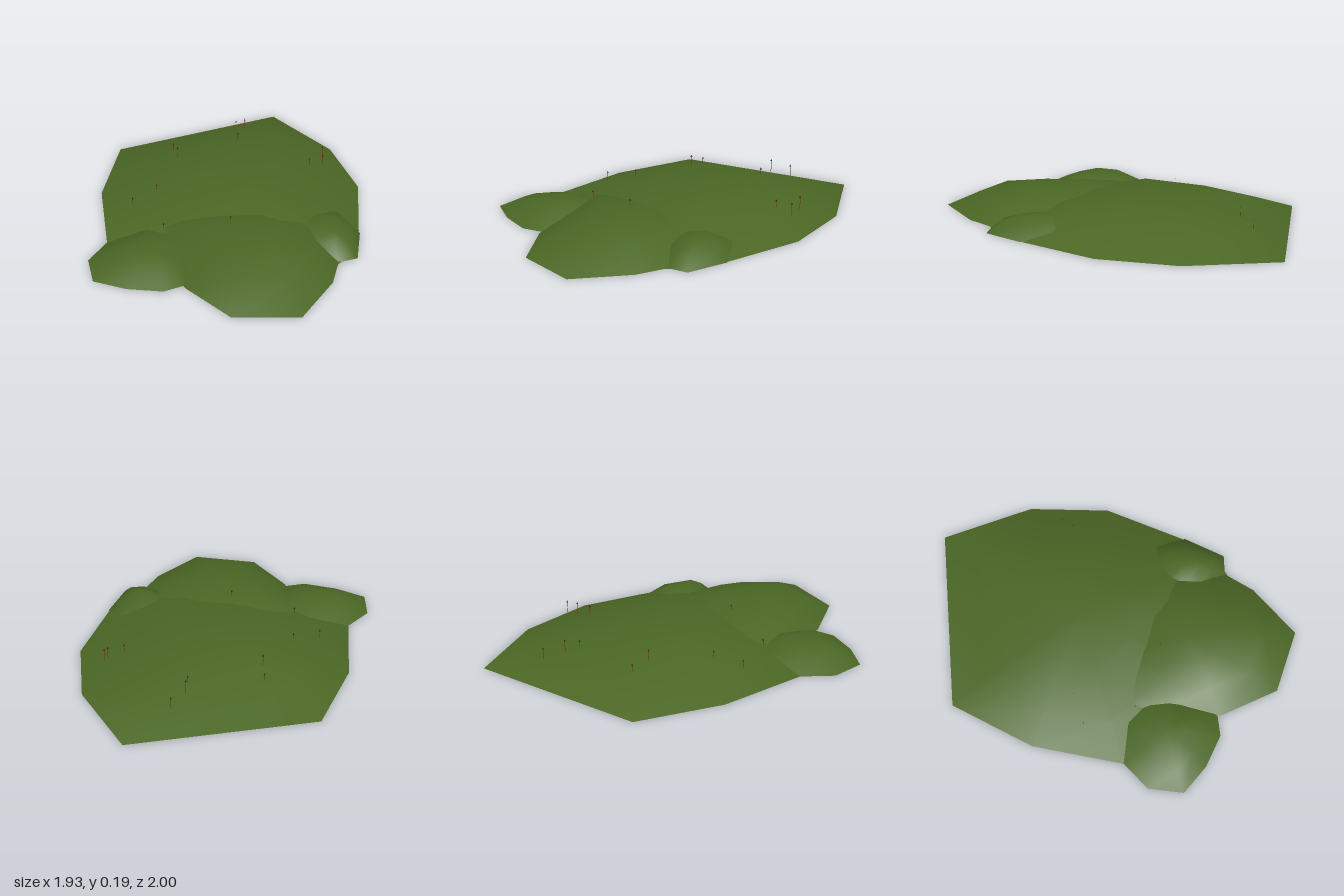
import * as THREE from 'three';

const grass = new THREE.MeshStandardMaterial({ color: 0x4b6725, side: THREE.DoubleSide });
grass.name = 'grass green';
const stemRed = new THREE.MeshStandardMaterial({ color: 0x7c2420, side: THREE.DoubleSide });
stemRed.name = 'stem red';
const budBrown = new THREE.MeshStandardMaterial({ color: 0x3d1a16, side: THREE.DoubleSide });
budBrown.name = 'bud brown';

// Open smooth dome: ground outline [x, z] shrinks toward the centre through [scale, height] rings
function mound(name, [cx, cz], outline, rings, peak) {
  const n = outline.length, pos = [], idx = [];
  for (const [s, y] of rings)
    for (const [x, z] of outline) pos.push(cx + (x - cx) * s, y, cz + (z - cz) * s);
  pos.push(cx, peak, cz);
  const top = rings.length * n;
  for (let r = 0; r < rings.length; r++) {
    for (let i = 0; i < n; i++) {
      const a = r * n + i, b = r * n + (i + 1) % n;
      if (r === rings.length - 1) idx.push(a, top, b);
      else idx.push(a, a + n, b, b, a + n, b + n);
    }
  }
  const g = new THREE.BufferGeometry();
  g.setAttribute('position', new THREE.Float32BufferAttribute(pos, 3));
  g.setIndex(idx);
  g.computeVertexNormals();
  const mesh = new THREE.Mesh(g, grass);
  mesh.name = name;
  return mesh;
}

// Thin upright sprig with a pointed bud at the top
function sprig(x, top, z) {
  const group = new THREE.Group();
  group.name = 'sprig';
  const stem = new THREE.Mesh(new THREE.PlaneGeometry(0.003, 0.07), stemRed);
  stem.name = 'stem';
  stem.position.y = -0.045;
  const shape = new THREE.Shape([
    new THREE.Vector2(-0.006, -0.014), new THREE.Vector2(0.006, -0.014), new THREE.Vector2(0, 0)
  ]);
  const bud = new THREE.Mesh(new THREE.ShapeGeometry(shape), budBrown);
  bud.name = 'bud';
  group.add(stem, bud);
  group.position.set(x, top, z);
  return group;
}

export function createModel() {
  const model = new THREE.Group();
  model.name = 'grassyHills';

  // Outlines run clockwise seen from above
  model.add(
    mound('mainHill', [0.17, -0.16],
      [[-0.05, -1], [0.96, -0.73], [0.965, -0.19], [0.8, 0.24], [0.48, 0.59],
        [0.28, 0.74], [0.02, 0.79], [-0.45, 0.47], [-0.7, -0.2], [-0.43, -0.65]],
      [[1, 0], [0.73, 0.078], [0.37, 0.139]], 0.146),
    mound('frontHill', [-0.17, 0.38],
      [[-0.5, -0.18], [-0.1, -0.22], [0.32, 0.08], [0.36, 0.5], [0.18, 0.75],
        [0.03, 0.87], [-0.3, 1], [-0.59, 0.77], [-0.62, 0.42]],
      [[1, 0], [0.68, 0.092], [0.32, 0.13]], 0.137),
    mound('sideHill', [-0.62, 0.08],
      [[-0.88, -0.12], [-0.7, -0.2], [-0.42, -0.2], [-0.28, 0.02], [-0.34, 0.22],
        [-0.52, 0.34], [-0.6, 0.4], [-0.73, 0.37], [-0.87, 0.23], [-0.97, 0.06]],
      [[1, 0], [0.66, 0.052], [0.34, 0.08]], 0.086),
    mound('smallHill', [0.28, 0.52],
      [[0.08, 0.4], [0.16, 0.24], [0.38, 0.24], [0.52, 0.4], [0.47, 0.61],
        [0.29, 0.785], [0.18, 0.75], [0.1, 0.6]],
      [[1, 0], [0.7, 0.062], [0.35, 0.09]], 0.097)
  );

  // Scattered sprigs: x, top height, z
  for (const [x, y, z] of [
    [0.77, 0.16, -0.05], [0.73, 0.135, 0], [0.64, 0.14, -0.02], [0.64, 0.14, -0.63],
    [0.53, 0.185, -0.58], [0.48, 0.155, -0.5], [0.1, 0.145, -0.65], [0.05, 0.19, -0.54],
    [-0.15, 0.17, 0.22], [-0.25, 0.145, -0.34], [-0.42, 0.12, -0.34], [-0.43, 0.11, -0.03]
  ]) model.add(sprig(x, y, z));

  return model;
}
